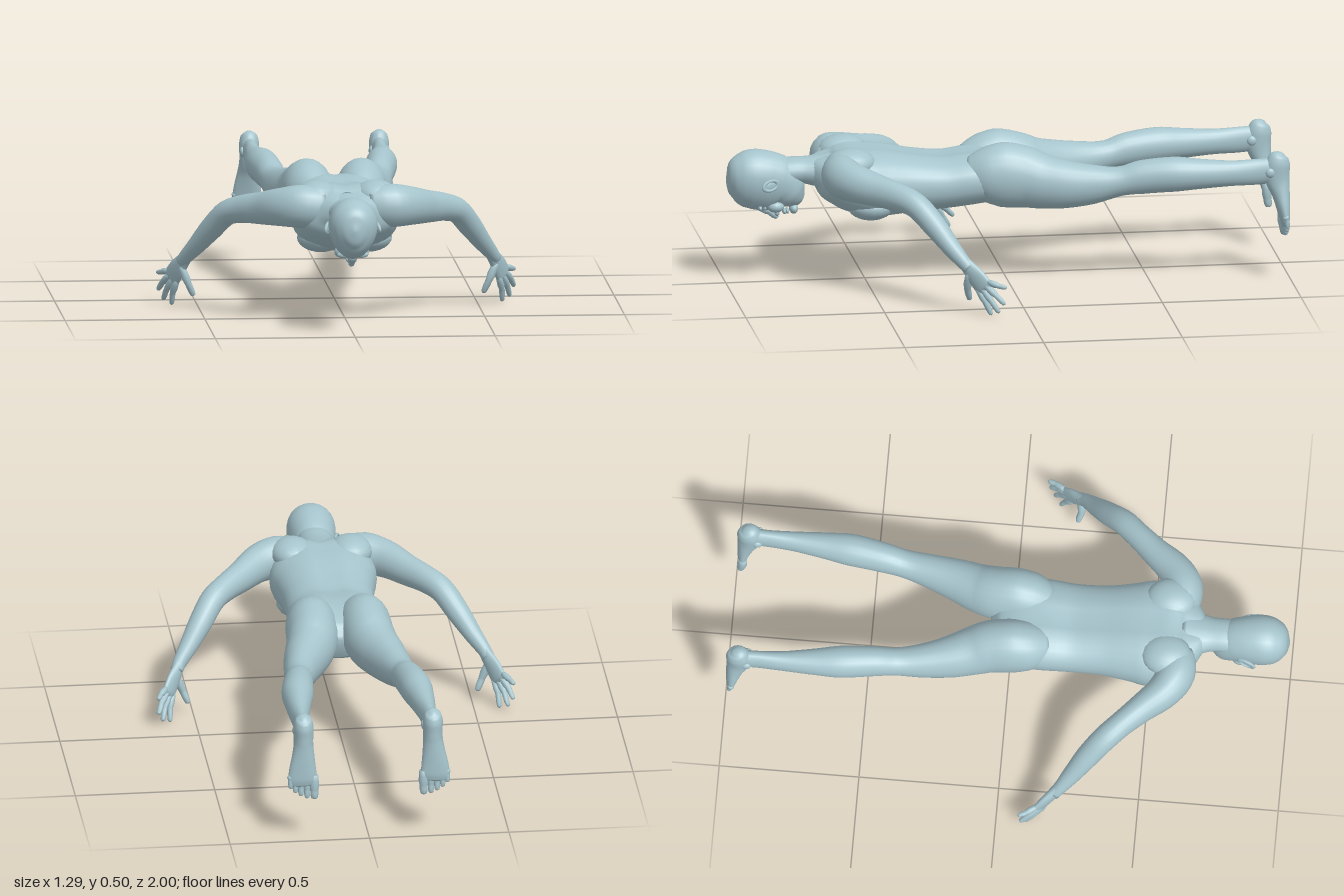
import * as THREE from 'three';

const skin = new THREE.MeshStandardMaterial({ color: 0xa6c4cc });
skin.name = 'paleBlueGrey';

// Smooth closed loft through oval sections [x, y, z, radiusAcross, radiusUp].
function loft(sections, up, { steps = 4, sides = 20, power = 1, warp } = {}) {
  const centre = new THREE.CatmullRomCurve3(sections.map(s => new THREE.Vector3(s[0], s[1], s[2])));
  const radius = new THREE.CatmullRomCurve3(sections.map(s => new THREE.Vector3(s[3], s[4], 0)));
  const rings = (sections.length - 1) * steps;
  const soft = v => Math.sign(v) * Math.abs(v) ** power;
  const pos = [], idx = [];
  for (let i = 0; i <= rings; i++) {
    const c = centre.getPoint(i / rings), r = radius.getPoint(i / rings);
    const t = centre.getTangent(i / rings);
    const side = up.clone().cross(t).normalize(), n = t.clone().cross(side);
    for (let j = 0; j < sides; j++) {
      const a = j / sides * Math.PI * 2;
      const p = c.clone().addScaledVector(side, r.x * soft(Math.cos(a))).addScaledVector(n, r.y * soft(Math.sin(a)));
      if (warp) warp(p, c, r);
      pos.push(p.x, p.y, p.z);
      if (i === rings) continue;
      const k = (j + 1) % sides, A = i * sides + j, B = i * sides + k;
      idx.push(A, B, B + sides, A, B + sides, A + sides);
    }
  }
  // End caps
  const first = pos.length / 3, end = rings * sides;
  pos.push(...sections[0].slice(0, 3), ...sections.at(-1).slice(0, 3));
  for (let j = 0; j < sides; j++) {
    const k = (j + 1) % sides;
    idx.push(first, k, j, first + 1, end + j, end + k);
  }
  const g = new THREE.BufferGeometry();
  g.setAttribute('position', new THREE.Float32BufferAttribute(pos, 3));
  g.setIndex(idx);
  g.computeVertexNormals();
  return g;
}

const V = (x, y, z) => new THREE.Vector3(x, y, z);
const UP = V(0, 1, 0);

export function createModel() {
  const model = new THREE.Group();
  model.name = 'proneFigure';
  const add = (name, geometry, parent = model) => {
    const m = new THREE.Mesh(geometry, skin);
    m.name = name;
    parent.add(m);
    return m;
  };
  const blob = (name, p, r, parent) => {
    const m = add(name, new THREE.SphereGeometry(1, 18, 12), parent);
    m.position.set(...p);
    m.scale.set(...r);
    return m;
  };
  // Tapered finger or toe with a rounded tip
  const digit = (name, pts, r, parent) => {
    const a = pts.at(-2), b = pts.at(-1);
    const mix = f => a.map((v, i) => v + (b[i] - v) * f);
    const secs = pts.slice(0, -1).map(p => [...p, r, r]);
    secs.push([...mix(0.55), r * 0.95, r * 0.95], [...mix(0.9), r * 0.72, r * 0.72], [...b, r * 0.15, r * 0.15]);
    add(name, loft(secs, V(0.3, 0.1, 1), { steps: 3, sides: 10 }), parent);
  };

  // Torso, with a shallow groove along the spine
  add('torso', loft([
    [0, .41, .70, .055, .045], [0, .405, .665, .115, .062], [0, .395, .63, .165, .092],
    [0, .385, .58, .185, .113], [0, .368, .50, .192, .124], [0, .362, .43, .178, .122],
    [0, .358, .33, .163, .108], [0, .357, .22, .162, .098], [0, .368, .12, .168, .098],
    [0, .372, .04, .165, .09], [0, .355, -.02, .13, .08], [0, .345, -.06, .05, .045],
  ], UP, { sides: 32, power: .88, warp: (p, c) => {
    if (p.y > c.y) p.y -= .012 * Math.exp(-((p.x / .03) ** 2));
  } }));

  // Neck
  add('neck', loft([
    [0, .40, .62, .10, .07], [0, .405, .68, .075, .055], [0, .408, .73, .062, .048],
    [0, .405, .78, .062, .05], [0, .39, .83, .06, .055],
  ], UP));

  // Head facing down, narrower toward the face
  const head = new THREE.Group();
  head.name = 'head';
  model.add(head);
  add('skull', loft([
    [0, .285, .738, .014, .012], [0, .296, .745, .036, .034], [0, .32, .765, .06, .064], [0, .348, .79, .07, .09],
    [0, .363, .82, .077, .104], [0, .373, .86, .084, .109], [0, .38, .90, .087, .109],
    [0, .381, .94, .081, .1], [0, .381, .97, .064, .08], [0, .38, .99, .038, .05], [0, .38, .999, .006, .008],
  ], UP, { sides: 28, warp: (p, c, r) => {
    p.x *= 1 + .12 * (p.y - c.y) / (r.y + .001);
  } }));
  digit('nose', [[0, .275, .875], [0, .262, .845], [0, .236, .812]], .014, head);
  blob('noseBase', [0, .255, .817], [.02, .014, .011], head);
  blob('upperLip', [0, .259, .790], [.024, .011, .007], head);
  blob('lowerLip', [0, .260, .779], [.021, .011, .007], head);
  blob('chin', [0, .268, .756], [.028, .02, .016], head);

  for (const s of [1, -1]) {
    const side = s > 0 ? 'left' : 'right';
    const body = new THREE.Group();
    body.name = side + 'Side';
    model.add(body);
    const M = rows => rows.map(([x, ...rest]) => [x * s, ...rest]);

    // Face details and ear
    blob('eye', [.031 * s, .282, .865], [.015, .011, .008], head);
    blob('brow', [.03 * s, .282, .882], [.026, .012, .008], head);
    blob('cheek', [.036 * s, .285, .825], [.026, .022, .03], head);
    const ear = new THREE.Group();
    ear.name = side + 'Ear';
    ear.position.set(.088 * s, .375, .85);
    ear.rotation.set(.25, .3 * s, 0);
    head.add(ear);
    const rim = add('earRim', new THREE.TorusGeometry(.02, .006, 8, 18), ear);
    rim.rotation.y = Math.PI / 2;
    rim.scale.set(1.4, .85, 1);
    blob('earBowl', [-.003 * s, 0, 0], [.005, .016, .026], ear);

    // Shoulder blade and chest muscle
    blob('shoulderBlade', [.105 * s, .452, .565], [.078, .054, .09], body);
    blob('chestMuscle', [.085 * s, .29, .49], [.085, .052, .085], body);

    // Arm from shoulder to wrist
    add('arm', loft(M([
      [.08, .415, .605, .06, .07], [.16, .418, .605, .07, .078], [.225, .412, .572, .063, .07],
      [.30, .397, .49, .05, .058], [.36, .386, .425, .045, .05], [.41, .366, .372, .045, .045],
      [.46, .305, .315, .042, .042], [.51, .236, .262, .033, .033], [.547, .188, .222, .024, .026],
      [.56, .168, .204, .022, .022],
    ]), UP));

    // Hand with spread fingers
    const hand = new THREE.Group();
    hand.name = side + 'Hand';
    body.add(hand);
    add('palm', loft(M([
      [.54, .198, .23, .024, .02], [.555, .172, .207, .028, .018], [.575, .138, .18, .037, .016],
      [.592, .105, .155, .038, .013], [.597, .095, .148, .028, .007],
    ]), V(.77 * s, -.05, .63)), hand);
    digit('thumb', M([[.562, .15, .205], [.538, .09, .207], [.517, .042, .196]]), .0125, hand);
    digit('indexFinger', M([[.575, .095, .175], [.588, .05, .15], [.591, .002, .128]]), .0105, hand);
    digit('middleFinger', M([[.586, .105, .164], [.608, .06, .133], [.62, .016, .104]]), .0105, hand);
    digit('ringFinger', M([[.596, .115, .153], [.622, .082, .117], [.637, .05, .086]]), .0105, hand);
    digit('littleFinger', M([[.604, .128, .142], [.625, .118, .11], [.638, .112, .08]]), .0095, hand);

    // Buttock, thigh and calf
    add('leg', loft(M([
      [.08, .38, .14, .06, .07], [.092, .388, .07, .088, .104], [.097, .388, .01, .093, .118],
      [.102, .378, -.06, .092, .112], [.118, .365, -.12, .086, .1], [.145, .358, -.2, .075, .088],
      [.17, .36, -.3, .06, .071], [.187, .373, -.4, .05, .053], [.197, .387, -.47, .053, .061],
      [.212, .397, -.58, .057, .063], [.221, .397, -.68, .047, .054], [.228, .397, -.8, .033, .046],
      [.23, .4, -.89, .027, .047], [.232, .405, -.95, .028, .045],
    ]), UP, { sides: 24 }));

    // Foot pointing down, sole to the back
    const foot = new THREE.Group();
    foot.name = side + 'Foot';
    body.add(foot);
    add('footBody', loft(M([
      [.232, .468, -.965, .01, .012], [.232, .455, -.96, .029, .034], [.232, .42, -.954, .036, .045],
      [.232, .37, -.954, .035, .044], [.234, .32, -.965, .04, .033], [.237, .27, -.973, .048, .025],
      [.238, .23, -.978, .052, .019], [.237, .208, -.98, .045, .012],
    ]), V(0, 0, -1)), foot);
    [[.196, .156, .015], [.222, .16, .0115], [.244, .169, .011], [.264, .182, .0105], [.281, .199, .01]]
      .forEach(([x, tip, r], i) =>
        digit('toe' + (i + 1), M([[x, .245, -.975], [x, tip + .035, -.979], [x, tip, -.984]]), r, foot));
    for (const [x, name] of [[.204, 'innerAnkle'], [.258, 'outerAnkle']])
      blob(name, [x * s, .4, -.925], [.011, .018, .018], foot);
  }
  return model;
}
